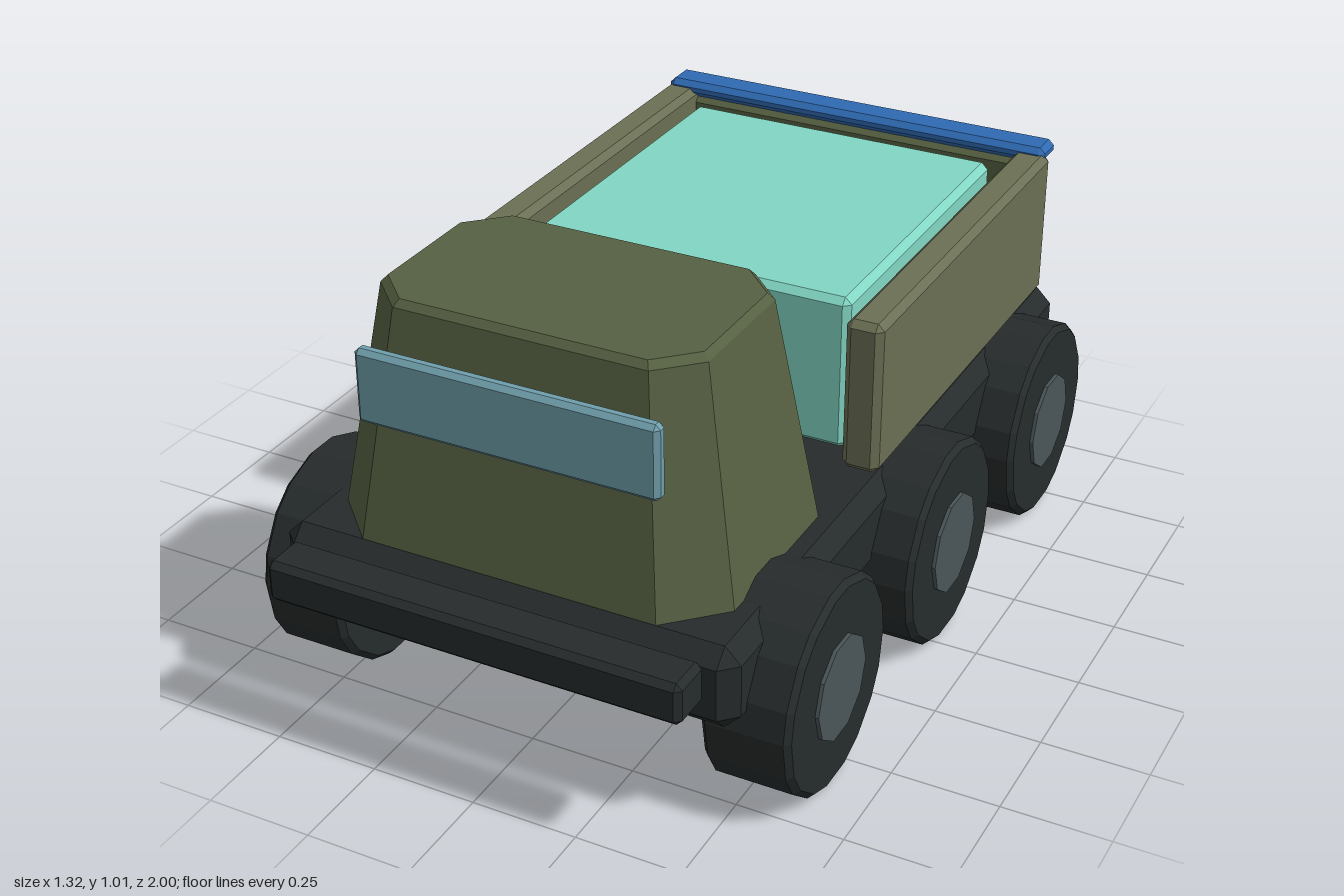
import * as THREE from 'three';
import { ConvexGeometry } from 'three/addons/geometries/ConvexGeometry.js';

const material = (color, extra = {}) =>
  new THREE.MeshStandardMaterial({ color, flatShading: true, ...extra });

const mats = {
  dark: material(0x262b2b),
  hub: material(0x4a5558),
  cab: material(0x566042),
  board: material(0x6a6f54),
  glass: material(0x6f9eab),
  cargo: material(0x82d6c4),
  blue: material(0x2f6ab3),
};

function part(group, name, geometry, mat) {
  const mesh = new THREE.Mesh(geometry, mat);
  mesh.name = name;
  group.add(mesh);
  return mesh;
}

// Box with every edge chamfered by b, given by its [min, max] ranges
function chamferBox([x0, x1], [y0, y1], [z0, z1], b) {
  const half = [(x1 - x0) / 2, (y1 - y0) / 2, (z1 - z0) / 2];
  const points = [];
  for (const sx of [-1, 1]) for (const sy of [-1, 1]) for (const sz of [-1, 1]) {
    const s = [sx, sy, sz];
    for (let axis = 0; axis < 3; axis++) {
      const c = half.map((h, i) => s[i] * (i === axis ? h : h - b));
      points.push(new THREE.Vector3(...c));
    }
  }
  return new ConvexGeometry(points)
    .translate((x0 + x1) / 2, (y0 + y1) / 2, (z0 + z1) / 2);
}

// Rectangle with cut corners at height y
function cutRing(y, halfX, z0, z1, cut) {
  const points = [];
  for (const s of [-1, 1]) {
    points.push(
      new THREE.Vector3(s * halfX, y, z0 + cut), new THREE.Vector3(s * halfX, y, z1 - cut),
      new THREE.Vector3(s * (halfX - cut), y, z0), new THREE.Vector3(s * (halfX - cut), y, z1));
  }
  return points;
}

// Nine-sided tyre with clipped corners and a flat side on the ground
function tyreGeometry() {
  const R = 0.258, bevel = 0.013, width = 0.205, n = 9;
  const corner = (i, r) => {
    const a = Math.PI / 2 + (i / n) * Math.PI * 2;
    return new THREE.Vector2(Math.cos(a) * r, Math.sin(a) * r);
  };
  const outline = [];
  for (let i = 0; i < n; i++) {
    const c = corner(i, R - bevel);
    outline.push(c.clone().lerp(corner(i - 1, R - bevel), 0.22),
      c.clone().lerp(corner(i + 1, R - bevel), 0.22));
  }
  const geometry = new THREE.ExtrudeGeometry(new THREE.Shape(outline), {
    depth: width - 2 * bevel, steps: 1,
    bevelEnabled: true, bevelThickness: bevel, bevelSize: bevel, bevelSegments: 1,
  });
  return geometry.translate(0, 0, -width / 2 + bevel).rotateY(Math.PI / 2);
}

export function createModel() {
  const truck = new THREE.Group();
  truck.name = 'truck';

  // Chassis and front bumper
  part(truck, 'chassis', chamferBox([-0.55, 0.55], [0.265, 0.465], [-1, 0.873], 0.038), mats.dark);
  part(truck, 'bumper', chamferBox([-0.495, 0.495], [0.36, 0.46], [0.89, 1], 0.014), mats.dark);

  // Tapered cab with cut corners
  part(truck, 'cab', new ConvexGeometry([
    ...cutRing(0.45, 0.477, 0.183, 0.837, 0.12),
    ...cutRing(0.997, 0.386, 0.27, 0.75, 0.088),
    ...cutRing(1.013, 0.372, 0.284, 0.736, 0.083),
  ]), mats.cab);
  part(truck, 'windshield', chamferBox([-0.357, 0.357], [0.745, 0.92], [0.786, 0.822], 0.011), mats.glass);

  // Load bed: side boards, tailgate with rail, cargo block
  for (const [side, x] of [['left', [0.443, 0.532]], ['right', [-0.532, -0.443]]]) {
    part(truck, side + 'SideBoard', chamferBox(x, [0.483, 0.855], [-0.93, 0.125], 0.016), mats.board);
  }
  part(truck, 'tailgate', chamferBox([-0.515, 0.515], [0.525, 0.832], [-0.978, -0.9], 0.014), mats.cab);
  part(truck, 'tailgateRail', chamferBox([-0.523, 0.523], [0.832, 0.872], [-0.988, -0.897], 0.014), mats.blue);
  part(truck, 'cargo', chamferBox([-0.407, 0.407], [0.46, 0.843], [-0.84, 0.018], 0.016), mats.cargo);

  // Three pairs of wheels
  const tyre = tyreGeometry();
  const hub = new THREE.CylinderGeometry(0.121, 0.121, 0.03, 10).rotateZ(Math.PI / 2);
  for (const [axle, z] of [['front', 0.573], ['middle', -0.06], ['rear', -0.695]]) {
    for (const [side, s] of [['Left', 1], ['Right', -1]]) {
      const wheel = new THREE.Group();
      wheel.name = axle + side + 'Wheel';
      wheel.position.set(s * 0.549, 0.2424, z);
      part(wheel, 'tyre', tyre, mats.dark);
      part(wheel, 'hub', hub, mats.hub).position.x = s * 0.096;
      truck.add(wheel);
    }
  }
  return truck;
}
